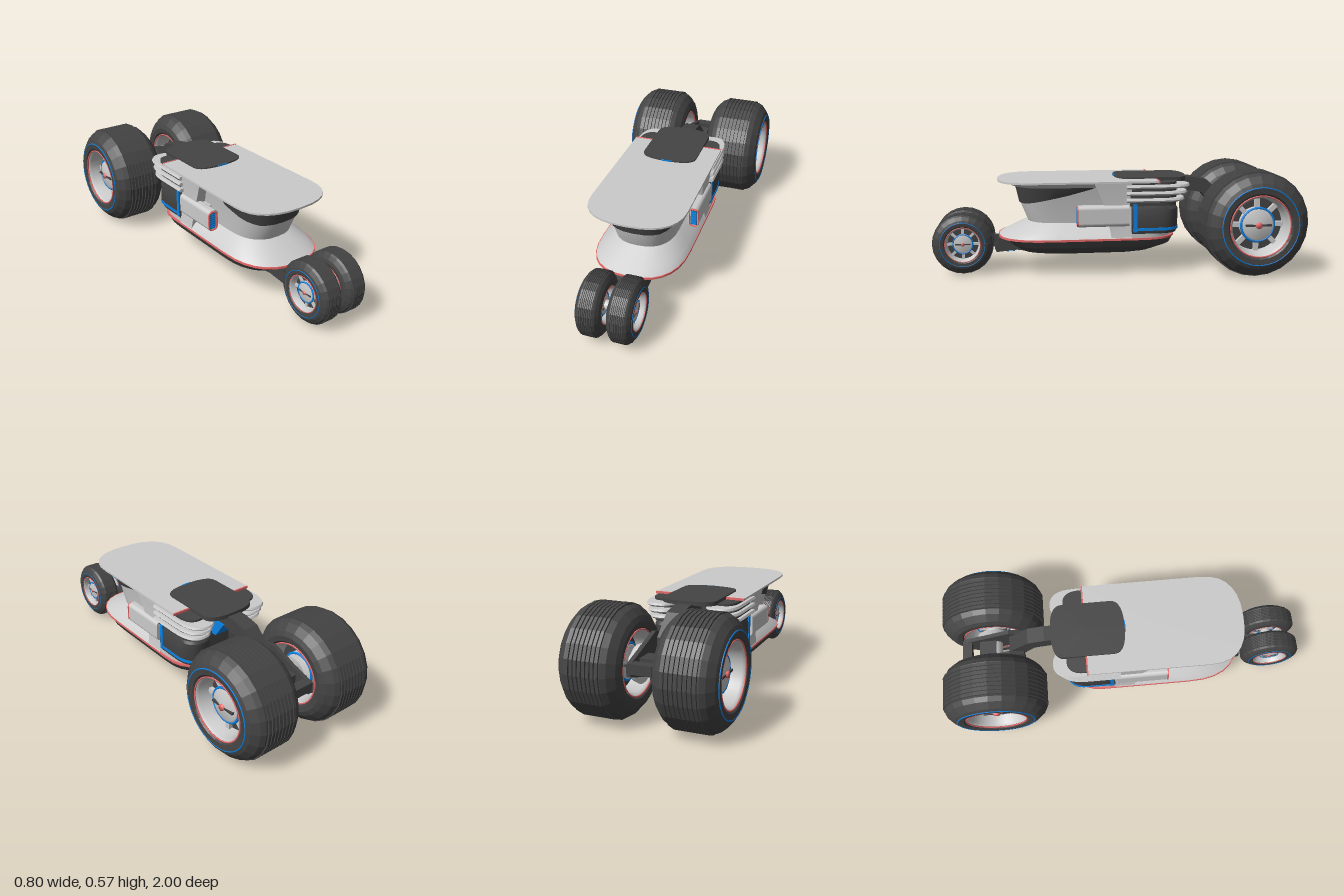
import * as THREE from 'three';
import { toCreasedNormals, mergeGeometries } from 'three/addons/utils/BufferGeometryUtils.js';

const mat = (color, flat = false) =>
  new THREE.MeshStandardMaterial({ color, flatShading: flat, side: THREE.DoubleSide });
const GREY = mat(0xcccccc), DARK = mat(0x444444), TYRE = mat(0x444444, true);
const BLUE = mat(0x0a84e8), RED = mat(0xe86a6a);

function add(parent, name, geo, material, x = 0, y = 0, z = 0) {
  const m = new THREE.Mesh(geo, material);
  m.name = name;
  m.position.set(x, y, z);
  parent.add(m);
  return m;
}
const box = (w, h, d) => new THREE.BoxGeometry(w, h, d);

// Plan outline: straight sides, rounded front (depth bF) and rear (depth bB)
function outline(hw, zF, bF, zB, bB, M = 14) {
  const pts = [], p = 0.8;
  for (let k = 0; k < 2; k++) {
    for (let i = 0; i <= M; i++) {
      const t = Math.PI * (k + i / M), c = Math.cos(t), s = Math.sin(t);
      const x = hw * Math.sign(c) * Math.abs(c) ** p;
      const e = Math.abs(s) ** p;
      pts.push([x, k ? zB + bB - bB * e : zF - bF + bF * e]);
    }
  }
  return pts;
}

// Skin through stacked outlines; each layer is [y or y(z), hw, zF, bF, zB, bB]
function loft(layers, crease = 0.5) {
  const rings = layers.map(([y, ...o]) => outline(...o).map(([x, z]) =>
    new THREE.Vector3(x, typeof y === 'function' ? y(z) : y, z)));
  const n = rings[0].length, v = [];
  const tri = (...p) => p.forEach(q => v.push(q.x, q.y, q.z));
  for (let r = 0; r + 1 < rings.length; r++) {
    for (let i = 0; i < n; i++) {
      const j = (i + 1) % n, a = rings[r], b = rings[r + 1];
      tri(a[i], b[i], a[j]);
      tri(a[j], b[i], b[j]);
    }
  }
  const mid = ring => ring.reduce((s, p) => s.add(p), new THREE.Vector3()).divideScalar(n);
  const lo = rings[0], hi = rings[rings.length - 1], cl = mid(lo), ch = mid(hi);
  for (let i = 0; i < n; i++) {
    const j = (i + 1) % n;
    tri(cl, lo[i], lo[j]);
    tri(ch, hi[j], hi[i]);
  }
  const g = new THREE.BufferGeometry();
  g.setAttribute('position', new THREE.Float32BufferAttribute(v, 3));
  return toCreasedNormals(g, crease);
}
const slab = (y0, y1, ...o) => loft([[y0, ...o], [y1, ...o]]);

// Side profile in (z, y), extruded across x
function sideExtrude(pts, width) {
  const s = new THREE.Shape(pts.map(p => new THREE.Vector2(...p)));
  return new THREE.ExtrudeGeometry(s, { depth: width, bevelEnabled: false })
    .translate(0, 0, -width / 2).rotateY(-Math.PI / 2);
}

function roundRect(w, h, r) {
  const s = new THREE.Shape(), a = w / 2 - r, b = h / 2 - r, H = Math.PI / 2;
  [[a, b], [-a, b], [-a, -b], [a, -b]].forEach(([x, y], i) => s.absarc(x, y, r, i * H, (i + 1) * H));
  return s;
}

// Wheel with outer face toward +x; R radius, W half width
function wheel(name, R, W, ridges) {
  const g = new THREE.Group();
  g.name = name;
  const lathe = (pts, seg = 24) => new THREE.LatheGeometry(
    pts.map(([r, y]) => new THREE.Vector2(r * R, y * W)), seg).rotateZ(-Math.PI / 2);
  const side = [[0.58, 0.9], [0.62, 0.98], [0.72, 1], [0.81, 0.93], [0.93, 0.74], [0.975, 0.58]];
  const tread = [];
  for (let i = 0; i < ridges; i++) {
    const w = 1.1 / ridges, y = -0.55 + i * w;
    tread.push([0.972, y], [1, y + 0.04 * w], [1, y + 0.75 * w], [0.972, y + 0.79 * w]);
  }
  add(g, 'tyre', lathe([...side.map(([r, y]) => [r, -y]), ...tread, ...side.slice().reverse()]), TYRE);
  const ring = (nm, r, t, x, m) =>
    add(g, nm, new THREE.TorusGeometry(r * R, t * R, 6, 32).rotateY(Math.PI / 2), m, x * W);
  for (const s of [1, -1]) {
    add(g, 'rim', lathe([[0.58, 0.93 * s], [0.53, 0.84 * s], [0.5, 0.35 * s]], 32), GREY);
    add(g, 'rimDisc', lathe([[0.51, 0.36 * s], [0, 0.36 * s]], 32), DARK);
    add(g, 'hub', lathe([[0.33, 0.3 * s], [0.33, 0.58 * s], [0.27, 0.64 * s], [0.08, 0.72 * s], [0, 0.72 * s]], 32), GREY);
    ring('rimTrim', 0.575, 0.014, 0.94 * s, RED);
    ring('hubRing', 0.315, 0.025, 0.58 * s, BLUE);
    add(g, 'hubCap', lathe([[0.06, 0.6 * s], [0.06, 0.78 * s], [0, 0.78 * s]], 12), RED);
    add(g, 'hubBar', box(0.16 * W, 0.035 * R, 0.5 * R), DARK, 0.66 * W * s);
  }
  ring('sidewallTrim', 0.73, 0.012, 0.99, BLUE);
  for (let i = 0; i < 8; i++) {
    const a = i * Math.PI / 4;
    add(g, 'spoke', box(0.15 * W, 0.2 * R, 0.09 * R).translate(0, 0.42 * R, 0).rotateX(a), GREY, 0.42 * W);
  }
  return g;
}

export function createModel() {
  const root = new THREE.Group();
  root.name = 'vehicle';

  // Lower hull and trim line
  add(root, 'lowerHull', loft([
    [0.106, 0.12, 0.45, 0.18, -0.13, 0.12], [0.122, 0.17, 0.53, 0.22, -0.2, 0.16],
    [0.16, 0.222, 0.585, 0.26, -0.3, 0.2], [0.2, 0.24, 0.62, 0.28, -0.318, 0.2]], 0.3), DARK);
  add(root, 'hullTrim', slab(0.198, 0.209, 0.243, 0.65, 0.3, -0.322, 0.2), RED);
  add(root, 'rearDeck', slab(0.209, 0.23, 0.235, 0, 0.001, -0.31, 0.2), GREY);

  // Nose deck and cabin, pinched at the waist
  add(root, 'cabin', loft([
    [0.209, 0.24, 0.645, 0.3, -0.06, 0.001], [0.235, 0.222, 0.59, 0.26, -0.06, 0.001],
    [0.285, 0.162, 0.49, 0.2, -0.06, 0.001], [0.385, 0.172, 0.53, 0.2, -0.06, 0.001],
    [0.475, 0.19, 0.545, 0.2, -0.06, 0.001], [0.482, 0.205, 0.575, 0.2, -0.06, 0.001],
    [0.506, 0.238, 0.62, 0.2, -0.06, 0.001]], 0.4), GREY);
  const sill = z => 0.388 + 0.075 * THREE.MathUtils.clamp((0.5 - z) / 0.36, 0, 1);
  add(root, 'windows', loft([
    [sill, 0.182, 0.536, 0.2, 0.14, 0.001], [0.479, 0.196, 0.556, 0.2, 0.14, 0.001]]), DARK);
  add(root, 'rearBulkhead', loft([
    [0.209, 0.238, 0.05, 0.001, -0.06, 0.001], [0.32, 0.222, 0.06, 0.001, -0.06, 0.001],
    [0.505, 0.242, 0.14, 0.001, -0.06, 0.001]]), GREY);

  // Roof and rear roof panel
  add(root, 'roof', slab(0.505, 0.515, 0.252, 0.65, 0.21, -0.2, 0.001), GREY);
  add(root, 'roofPanel', loft([
    [0.5, 0.15, 0.012, 0.07, -0.385, 0.07], [0.522, 0.15, 0.012, 0.07, -0.385, 0.07]]), DARK);
  add(root, 'roofMarker', box(0.06, 0.006, 0.008), BLUE, 0, 0.519, 0.012);

  for (const s of [1, -1]) {
    // Lamp pods on the flanks
    const pod = new THREE.ExtrudeGeometry(roundRect(0.06, 0.115, 0.022), { depth: 0.27, bevelEnabled: false });
    add(root, 'lampPod', pod, GREY, s * 0.216, 0.33, -0.045);
    add(root, 'podBridge', box(0.06, 0.09, 0.19), GREY, s * 0.18, 0.33, 0.05);
    const frame = roundRect(0.052, 0.108, 0.02);
    frame.holes.push(roundRect(0.043, 0.098, 0.016));
    add(root, 'lampFrame', new THREE.ExtrudeGeometry(frame, { depth: 0.008, bevelEnabled: false }), RED, s * 0.222, 0.33, 0.224);
    add(root, 'lampBack', box(0.034, 0.086, 0.004), DARK, s * 0.222, 0.33, 0.226);
    const slats = [];
    for (let i = 0; i < 7; i++) slats.push(box(0.03, 0.008, 0.008).translate(0, (i - 3) * 0.012, 0));
    add(root, 'lampSlats', mergeGeometries(slats), BLUE, s * 0.222, 0.33, 0.229);

    // Engine pods with blue bands
    add(root, 'enginePod', loft([
      [0.23, 0.085, -0.06, 0.001, -0.31, 0.12], [0.25, 0.09, -0.06, 0.001, -0.32, 0.12],
      [0.36, 0.09, -0.06, 0.001, -0.32, 0.12], [0.39, 0.078, -0.06, 0.001, -0.3, 0.12]]), DARK, s * 0.147);
    add(root, 'engineBand', slab(0.247, 0.262, 0.093, -0.065, 0.001, -0.323, 0.12), BLUE, s * 0.147);
    add(root, 'engineUpright', box(0.012, 0.15, 0.02), BLUE, s * 0.235, 0.315, -0.078);
    add(root, 'engineTopBand', box(0.03, 0.01, 0.11), BLUE, s * 0.212, 0.39, -0.125);

    // Stacked cooling fins
    add(root, 'finCore', slab(0.38, 0.505, 0.07, -0.05, 0.001, -0.31, 0.1), DARK, s * 0.165);
    for (let i = 0; i < 3; i++) {
      const y = 0.402 + i * 0.036;
      add(root, 'coolingFin', loft([
        [y, 0.08, -0.03, 0.001, -0.345 - i * 0.014, 0.14],
        [y + 0.009, 0.09, -0.03, 0.001, -0.355 - i * 0.014, 0.15],
        [y + 0.02, 0.084, -0.03, 0.001, -0.35 - i * 0.014, 0.14]]), GREY, s * 0.168);
    }
    add(root, 'roofEdgeTrim', box(0.1, 0.013, 0.008), RED, s * 0.202, 0.51, -0.203);
  }

  // Central spine and blue wedge below the rear panel
  add(root, 'spine', box(0.14, 0.28, 0.22), DARK, 0, 0.36, -0.16);
  add(root, 'spineWedge', sideExtrude([[-0.26, 0.36], [-0.3, 0.36], [-0.36, 0.45], [-0.26, 0.45]], 0.1), BLUE);

  // Rear swing arm, fork and axle
  add(root, 'rearArm', sideExtrude([[-0.2, 0.505], [-0.42, 0.508], [-0.51, 0.49], [-0.62, 0.39],
    [-0.62, 0.3], [-0.56, 0.33], [-0.48, 0.42], [-0.36, 0.44], [-0.2, 0.45]], 0.085), DARK);
  for (const s of [1, -1]) {
    add(root, 'rearFork', sideExtrude([[-0.54, 0.4], [-0.62, 0.42], [-0.76, 0.37], [-0.88, 0.33],
      [-0.88, 0.27], [-0.72, 0.22], [-0.6, 0.26], [-0.54, 0.33]], 0.022), DARK, s * 0.06);
    add(root, 'axleFlange', new THREE.CylinderGeometry(0.09, 0.1, 0.03, 24).rotateZ(s * -Math.PI / 2), GREY, s * 0.085, 0.285, -0.715);
  }
  for (const [z, d] of [[-0.745, 0.09], [-0.86, 0.05]])
    add(root, 'forkBridge', box(0.12, 0.05, d), DARK, 0, 0.31, z);
  add(root, 'rearAxle', new THREE.CylinderGeometry(0.045, 0.045, 0.3, 16).rotateZ(Math.PI / 2), GREY, 0, 0.285, -0.715);

  // Front arm, blade and axle
  add(root, 'frontMount', sideExtrude([[0.45, 0.115], [0.55, 0.13], [0.66, 0.12], [0.67, 0.14], [0.65, 0.198], [0.45, 0.198]], 0.19), DARK);
  for (const z of [0.57, 0.6, 0.63])
    add(root, 'mountStripe', box(0.18, 0.006, 0.012), BLUE, 0, 0.124, z);
  add(root, 'frontBlade', sideExtrude([[0.6, 0.13], [0.86, 0.13], [0.9, 0.16], [0.88, 0.2], [0.6, 0.2]], 0.02), DARK);
  add(root, 'frontAxle', new THREE.CylinderGeometry(0.025, 0.025, 0.14, 16).rotateZ(Math.PI / 2), GREY, 0, 0.173, 0.837);

  // Wheels in pairs
  for (const s of [1, -1]) {
    const rear = wheel('rearWheel', 0.283, 0.16, 8), front = wheel('frontWheel', 0.163, 0.063, 8);
    rear.position.set(s * 0.24, 0.285, -0.717);
    front.position.set(s * 0.078, 0.173, 0.837);
    for (const w of [rear, front]) {
      w.rotation.y = s > 0 ? 0 : Math.PI;
      root.add(w);
    }
  }
  return root;
}
